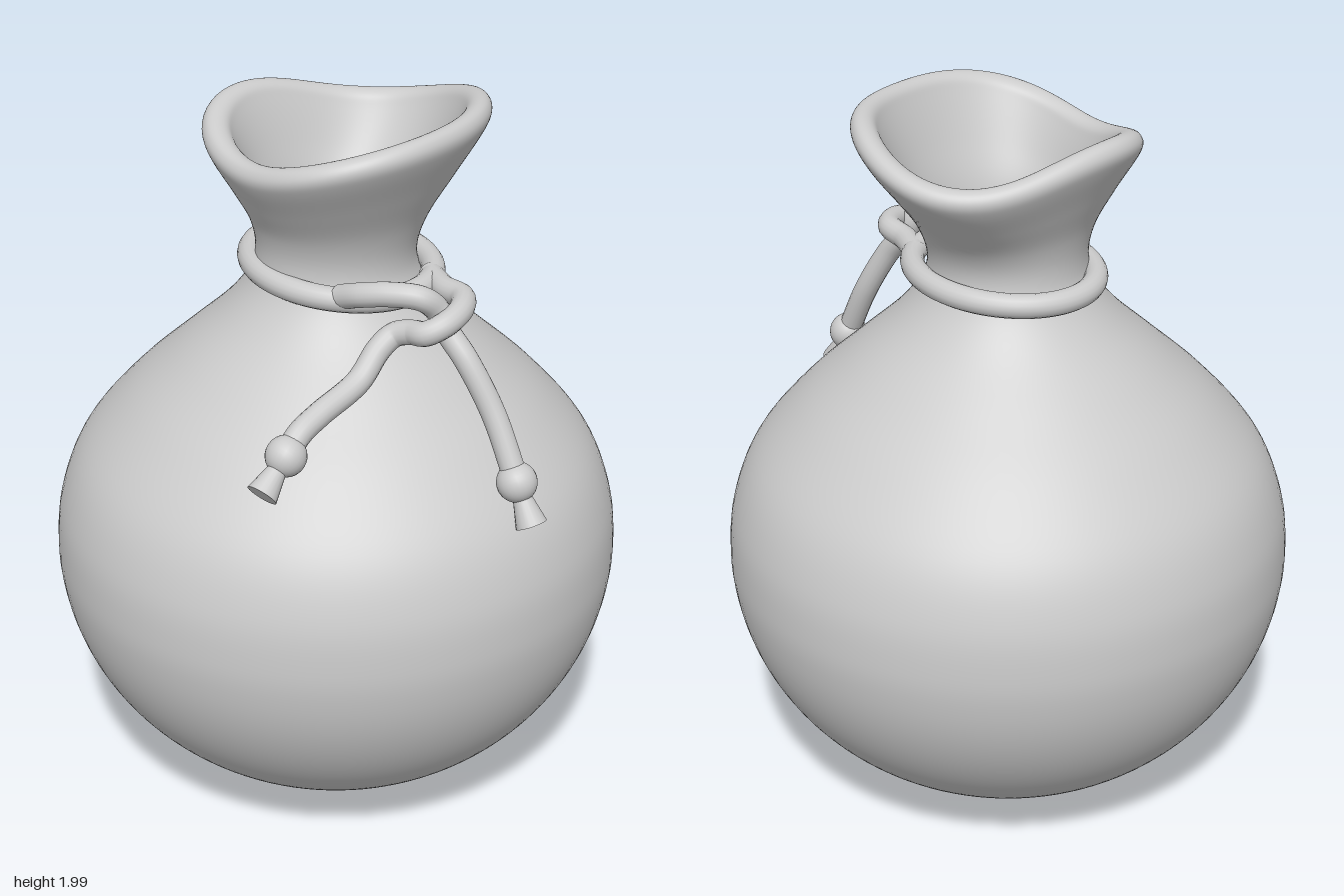
import * as THREE from 'three';
import { mergeVertices } from 'three/addons/utils/BufferGeometryUtils.js';

const CORD = 0.033;
const material = new THREE.MeshStandardMaterial({ color: 0xcccccc });

function addMesh(parent, name, geometry) {
  const mesh = new THREE.Mesh(geometry, material);
  mesh.name = name;
  parent.add(mesh);
  return mesh;
}

// Pouch: outer wall, rolled rim and inner funnel in one turned profile,
// with the mouth pushed off centre, its outline uneven and its rim wavy
function pouchGeometry() {
  const profile = [
    [0.78, 0.72], [0.765, 0.86], [0.705, 1.01], [0.58, 1.16], [0.44, 1.29], [0.31, 1.41],
    [0.235, 1.51], [0.216, 1.59], [0.238, 1.68], [0.295, 1.78], [0.35, 1.87],
    [0.367, 1.912], [0.357, 1.94], [0.333, 1.949], [0.306, 1.937], [0.287, 1.9],
    [0.245, 1.8], [0.205, 1.7], [0.187, 1.6], [0.177, 1.5], [0.13, 1.38], [0.06, 1.25], [0, 1.15],
  ].map(([x, y]) => new THREE.Vector2(x, y));
  // Round belly below the widest point
  for (let i = 1; i <= 10; i++) {
    const a = (i / 10) * Math.PI / 2;
    profile.unshift(new THREE.Vector2(0.78 * Math.cos(a), 0.72 - 0.717 * Math.sin(a)));
  }
  const points = new THREE.SplineCurve(profile).getPoints(180);
  points.forEach((p) => { p.x = Math.max(p.x, 0); });

  const geometry = new THREE.LatheGeometry(points, 96);
  const pos = geometry.attributes.position;
  const corner = THREE.MathUtils.degToRad(305);
  for (let i = 0; i < pos.count; i++) {
    const x = pos.getX(i), y = pos.getY(i), z = pos.getZ(i);
    const a = Math.atan2(x, z);
    const t = THREE.MathUtils.smoothstep(y, 1.56, 1.94);
    const wave = -0.016 * Math.cos(a) + 0.027 * Math.sin(a)
      - 0.022 * Math.cos(2 * a) - 0.024 * Math.sin(2 * a)
      - 0.0176 * Math.cos(3 * a) + 0.007 * Math.sin(3 * a);
    const bulge = 0.025 * (1 - Math.cos(4 * a)) + 0.02 * Math.sin(2 * a)
      + 0.036 * (Math.cos(a - corner) + Math.cos(3 * (a - corner)));
    const s = 1 + bulge * t;
    pos.setXYZ(i, x * s * (1 - 0.02 * t) + 0.02 * t, y + wave * t,
      z * s * (1 + 0.02 * t) - 0.045 * t);
  }
  geometry.deleteAttribute('uv');
  geometry.deleteAttribute('normal');
  const smooth = mergeVertices(geometry, 1e-5);
  smooth.computeVertexNormals();
  return smooth;
}

// One cord end: a tube through the knot with a bead and flared tip
function addCord(parent, name, path) {
  const pts = path.map((p) => new THREE.Vector3(...p));
  const curve = new THREE.CatmullRomCurve3(pts, false, 'centripetal');
  const group = new THREE.Group();
  group.name = name;
  parent.add(group);
  addMesh(group, 'cord', new THREE.TubeGeometry(curve, 120, CORD, 16));

  const end = new THREE.Group();
  end.name = 'cordEnd';
  end.position.copy(pts[pts.length - 1]);
  end.quaternion.setFromUnitVectors(new THREE.Vector3(0, -1, 0), curve.getTangent(1));
  group.add(end);
  addMesh(end, 'bead', new THREE.SphereGeometry(0.054, 24, 16));
  addMesh(end, 'tip', new THREE.CylinderGeometry(0.024, 0.042, 0.08, 20)).position.y = -0.078;
}

export function createModel() {
  const model = new THREE.Group();
  model.name = 'drawstringPouch';
  addMesh(model, 'pouch', pouchGeometry());

  // Cord loop around the neck
  const ring = new THREE.TorusGeometry(1, 0.1, 16, 96);
  const pos = ring.attributes.position;
  const normal = ring.attributes.normal;
  for (let i = 0; i < pos.count; i++) {
    const a = Math.atan2(pos.getY(i), pos.getX(i));
    const out = (Math.hypot(pos.getX(i), pos.getY(i)) - 1) * CORD / 0.1;
    const up = pos.getZ(i) * CORD / 0.1;
    pos.setXYZ(i, 0.01 + (0.283 + out) * Math.cos(a), up, -(0.226 + out) * Math.sin(a));
    normal.setXYZ(i, normal.getX(i), normal.getZ(i), -normal.getY(i));
  }
  addMesh(model, 'neckCord', ring).position.set(0, 1.542, -0.008);

  // Knot at the left side and the two hanging ends
  addCord(model, 'frontCord', [
    [0.22, 1.542, -0.15], [0.32, 1.545, -0.12], [0.405, 1.55, -0.115], [0.46, 1.545, -0.065],
    [0.48, 1.53, 0], [0.46, 1.51, 0.045], [0.415, 1.5, 0.055], [0.375, 1.485, 0.08],
    [0.37, 1.455, 0.125], [0.385, 1.39, 0.2], [0.41, 1.345, 0.34], [0.425, 1.318, 0.41],
    [0.437, 1.275, 0.46],
  ]);
  addCord(model, 'backCord', [
    [0.22, 1.55, 0.14], [0.3, 1.58, 0.125], [0.365, 1.595, 0.085], [0.42, 1.59, 0.03],
    [0.43, 1.55, -0.015], [0.455, 1.495, -0.03], [0.51, 1.43, -0.05], [0.585, 1.295, -0.085],
    [0.67, 1.13, -0.1],
  ]);
  return model;
}
